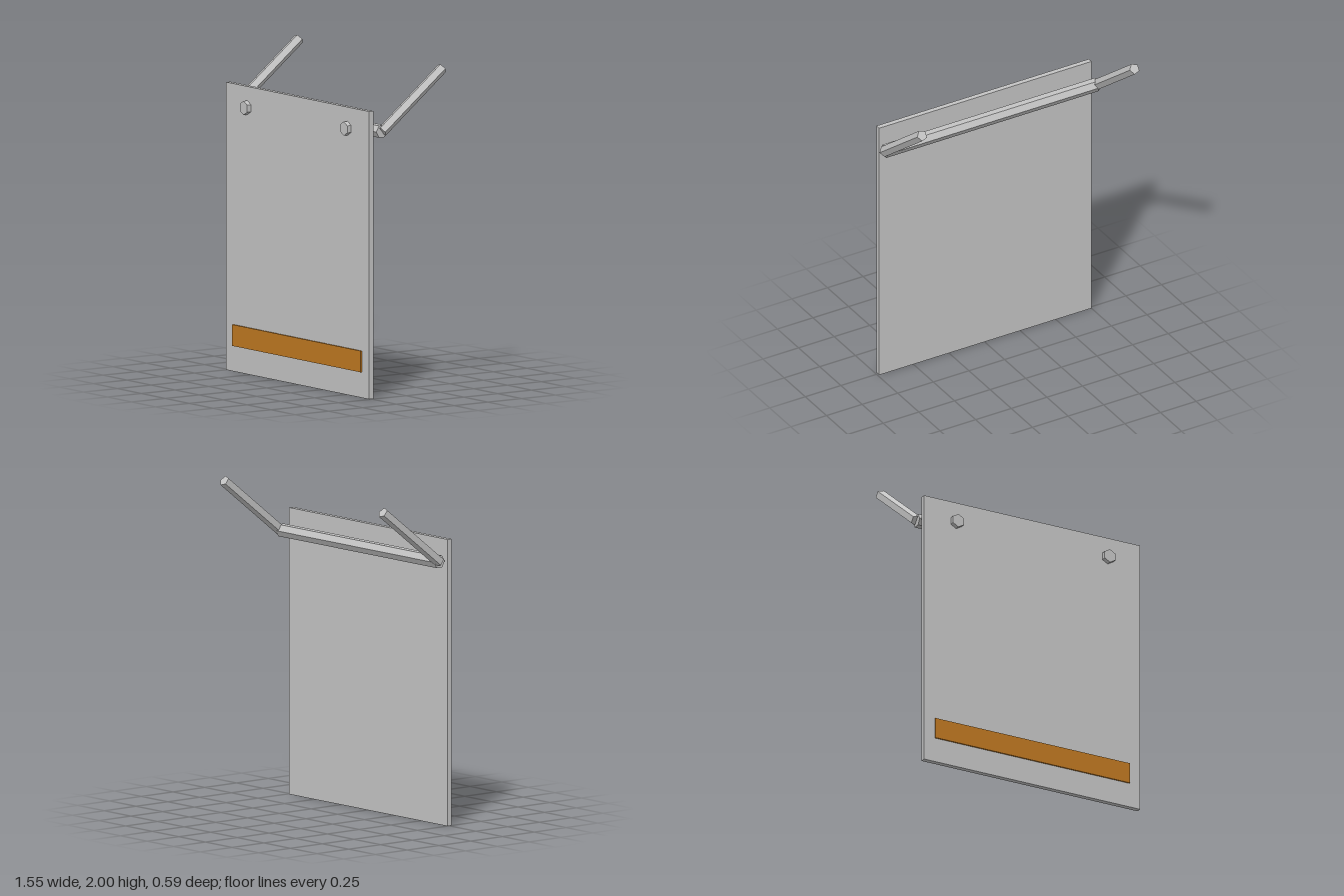
import * as THREE from 'three';

const grey = new THREE.MeshStandardMaterial({ color: 0xc4c4c4, flatShading: true });
grey.name = 'light grey';
const orange = new THREE.MeshStandardMaterial({ color: 0xbf7821, flatShading: true });
orange.name = 'orange';

export function createModel() {
  const group = new THREE.Group();

  const add = (name, geometry, material, x, y, z) => {
    const mesh = new THREE.Mesh(geometry, material);
    mesh.name = name;
    mesh.position.set(x, y, z);
    group.add(mesh);
    return mesh;
  };

  // Flat hanging panel
  add('panel', new THREE.BoxGeometry(1.49, 1.755, 0.032), grey, -0.005, 0.8775, 0.251);

  // Coloured band near the bottom edge
  add('stripe', new THREE.BoxGeometry(1.34, 0.13, 0.009), orange, -0.005, 0.221, 0.2715);

  // Hexagonal bolt heads
  const boltGeometry = new THREE.CylinderGeometry(0.043, 0.043, 0.029, 6).rotateX(Math.PI / 2);
  for (const x of [-0.528, 0.516]) add('bolt', boltGeometry, grey, x, 1.626, 0.2815);

  // Hexagonal crossbar behind the panel
  const barGeometry = new THREE.CylinderGeometry(0.042, 0.042, 1.49, 6).rotateZ(Math.PI / 2);
  add('crossbar', barGeometry, grey, -0.005, 1.625, 0.172);

  // Five-sided arms rising backwards from the bar ends
  const dy = 0.35, dz = -0.445;
  const armGeometry = new THREE.CylinderGeometry(0.034, 0.034, Math.hypot(dy, dz), 5, 1, false, Math.PI / 2)
    .rotateX(Math.atan2(dz, dy));
  for (const x of [-0.75, 0.741]) add('arm', armGeometry, grey, x, 1.625 + dy / 2, 0.172 + dz / 2);

  return group;
}
